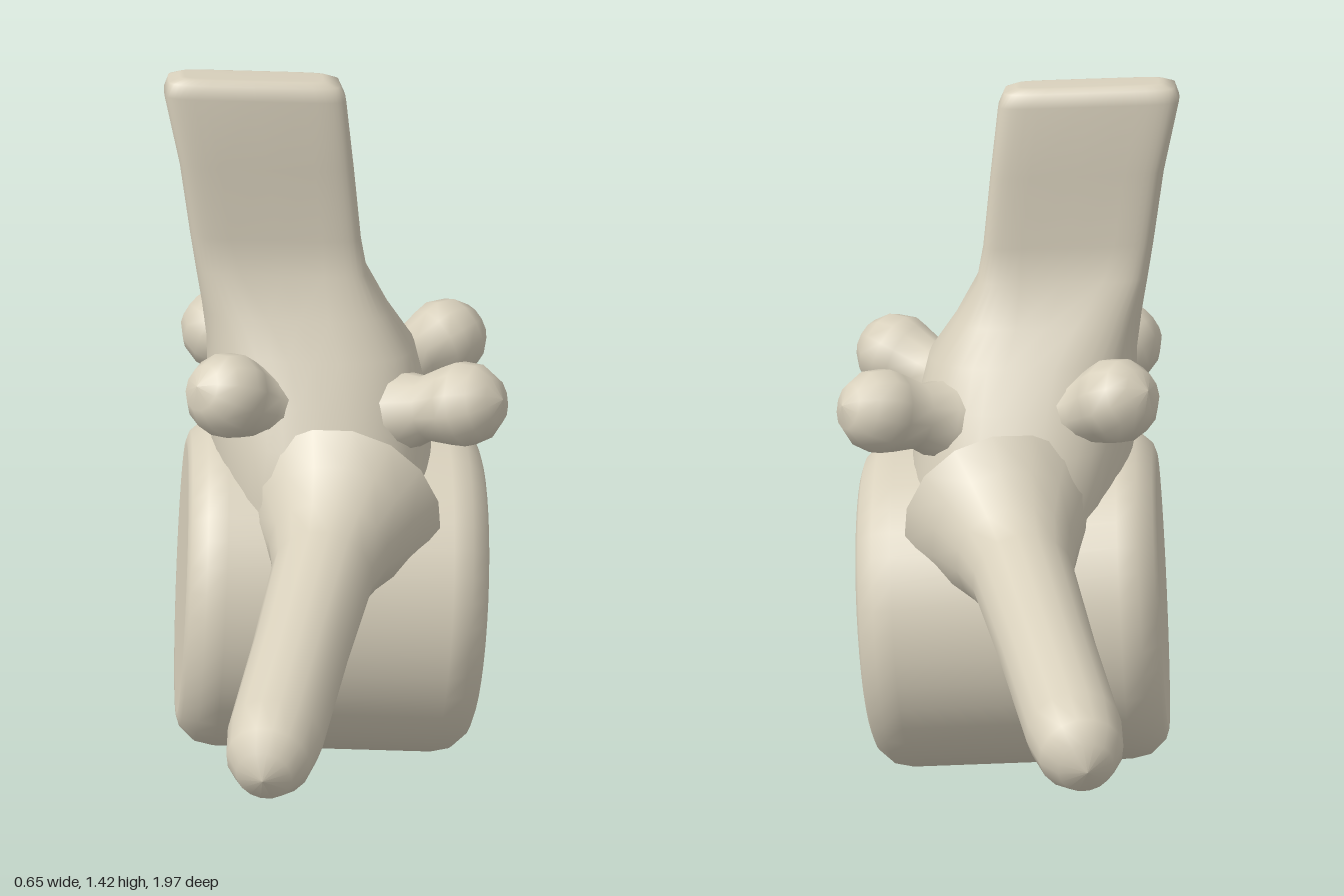
import * as THREE from 'three';

const bone = new THREE.MeshStandardMaterial({ color: 0xd8d0bc });
bone.name = 'bone';

function add(group, name, geometry) {
  const mesh = new THREE.Mesh(geometry, bone);
  mesh.name = name;
  group.add(mesh);
  return mesh;
}

// Turned limb: profile of [radius, distance] running from a point along a direction
function limb(group, name, from, dir, profile, sides) {
  const points = profile.map(([r, d]) => new THREE.Vector2(r, d));
  const mesh = add(group, name, new THREE.LatheGeometry(points, sides));
  mesh.position.copy(from);
  mesh.quaternion.setFromUnitVectors(new THREE.Vector3(0, 1, 0), dir.clone().normalize());
  return mesh;
}

// Skin over rounded-rectangle rings [y, xMin, xMax, halfDepth, squareness]
function loft(rings, sides) {
  const pos = [], index = [];
  for (const [y, x0, x1, hz, power] of rings) {
    for (let j = 0; j < sides; j++) {
      const a = (j / sides) * Math.PI * 2;
      const c = Math.cos(a), s = Math.sin(a);
      const k = (v) => Math.sign(v) * Math.pow(Math.abs(v), 2 / power);
      const x = (x0 + x1) / 2 + k(c) * (x1 - x0) / 2;
      pos.push(x, y - 0.045 * (x + 0.15), k(s) * hz);
    }
  }
  for (let i = 0; i < rings.length - 1; i++) {
    for (let j = 0; j < sides; j++) {
      const a = i * sides + j, b = i * sides + (j + 1) % sides;
      index.push(a, a + sides, b, b, a + sides, b + sides);
    }
  }
  const g = new THREE.BufferGeometry();
  g.setAttribute('position', new THREE.Float32BufferAttribute(pos, 3));
  g.setIndex(index);
  g.computeVertexNormals();
  return g;
}

export function createModel() {
  const model = new THREE.Group();
  model.name = 'vertebra';

  // Drum-shaped body, lying along x with a slight tilt
  const half = [[0.335, 0.22], [0.327, 0.258], [0.3, 0.288], [0.28, 0.295], [0.27, 0.295], [0, 0.295]];
  const drum = [...half.map(([r, h]) => [r, -h]).reverse(), ...half];
  limb(model, 'body', new THREE.Vector3(-0.014, 0.347, 0), new THREE.Vector3(1, -0.065, 0), drum, 40);

  // Arch flowing up into the flat spine
  add(model, 'archAndSpine', loft([
    [0.45, -0.22, 0.21, 0.30, 2.2],
    [0.62, -0.24, 0.20, 0.285, 2.2],
    [0.72, -0.25, 0.19, 0.24, 2.3],
    [0.80, -0.25, 0.18, 0.20, 2.4],
    [0.88, -0.25, 0.16, 0.155, 2.6],
    [0.95, -0.258, 0.11, 0.115, 3.2],
    [1.03, -0.27, 0.065, 0.078, 5],
    [1.10, -0.28, 0.052, 0.068, 6],
    [1.24, -0.298, 0.038, 0.067, 6],
    [1.375, -0.325, 0.023, 0.065, 6],
    [1.40, -0.316, 0.012, 0.055, 6],
    [1.408, -0.295, -0.01, 0.04, 6],
    [1.409, -0.285, -0.02, 0.034, 6],
    [1.409, -0.15, -0.15, 0, 6],
  ], 40));

  const armProfile = [[0.2, 0], [0.155, 0.06], [0.118, 0.13], [0.098, 0.2], [0.089, 0.45],
    [0.086, 0.7], [0.075, 0.77], [0.05, 0.81], [0, 0.825]];
  for (const side of [1, -1]) {
    const end = side > 0 ? 'front' : 'back';

    // Long side arm, flared where it leaves the arch
    limb(model, end + 'Arm', new THREE.Vector3(0, 0.578, 0.2 * side),
      new THREE.Vector3(-0.24, -0.22, side), armProfile, 16);

    // Two knobs on short stalks
    for (const [label, x, y, z] of [['LeftKnob', 0.243, 0.8, 0.19], ['RightKnob', -0.215, 0.83, 0.193]]) {
      const root = new THREE.Vector3(Math.sign(x) * 0.06, 0.74, 0.08 * side);
      const dir = new THREE.Vector3(x, y, z * side).sub(root);
      const d = dir.length();
      limb(model, end + label, root, dir, [[0.11, 0], [0.08, d * 0.4], [0.064, d * 0.62],
        [0.078, d - 0.03], [0.084, d], [0.073, d + 0.04], [0.045, d + 0.07], [0, d + 0.083]], 12);
    }
  }
  return model;
}
